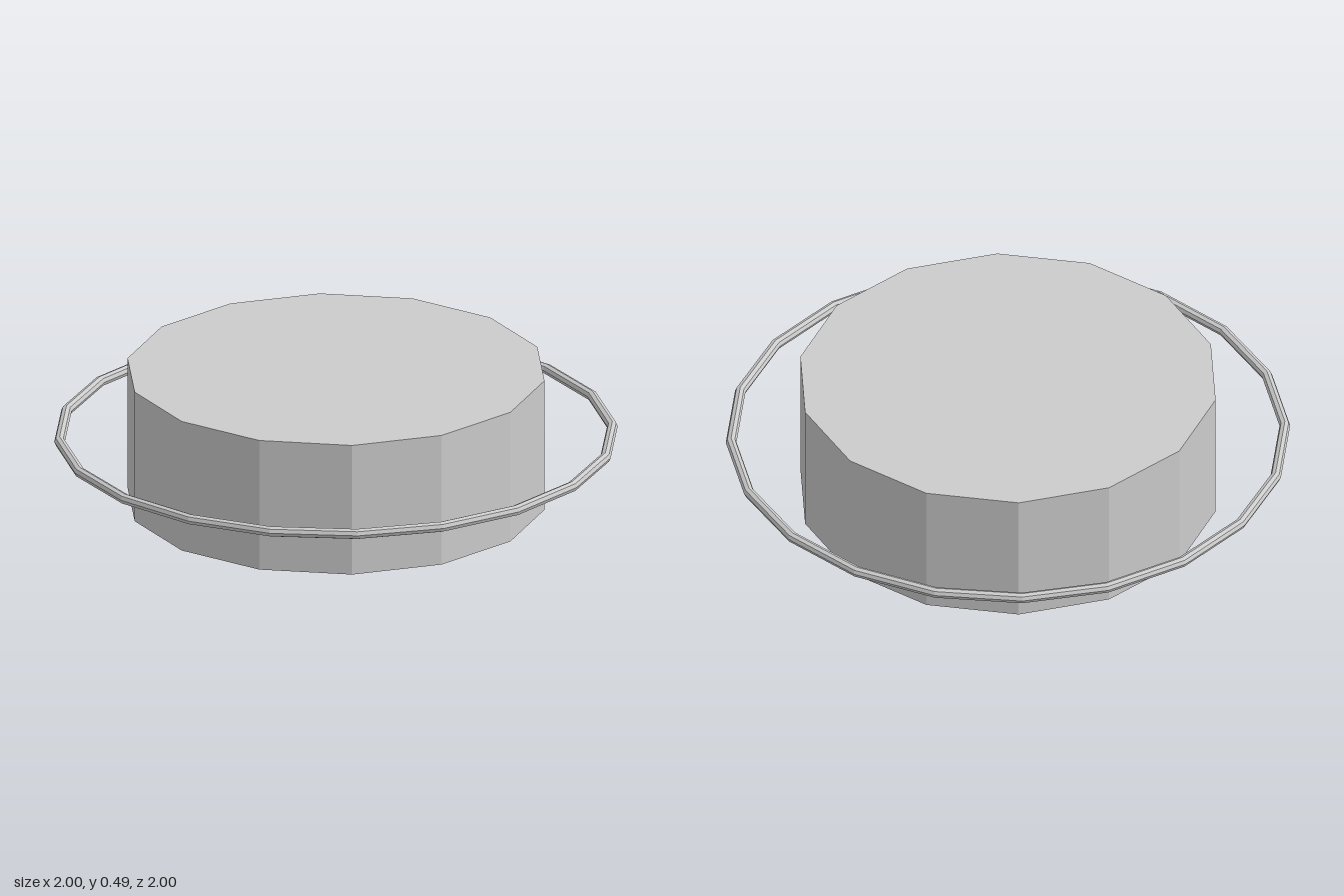
import * as THREE from 'three';

export function createModel() {
  const group = new THREE.Group();
  const material = new THREE.MeshStandardMaterial({ color: 0xcccccc, flatShading: true });
  const radius = 0.746, height = 0.49;
  const ringRadius = 0.981, tubeRadius = 0.019;

  // Fourteen-sided drum standing on the ground
  const drum = new THREE.Mesh(new THREE.CylinderGeometry(radius, radius, height, 14), material);
  drum.name = 'drum';
  drum.position.y = height / 2;
  group.add(drum);

  // Thin twenty-sided ring floating around the middle of the drum
  const ring = new THREE.Mesh(new THREE.TorusGeometry(ringRadius, tubeRadius, 8, 20), material);
  ring.name = 'ring';
  ring.rotation.x = Math.PI / 2;
  ring.position.y = height / 2;
  group.add(ring);

  return group;
}
